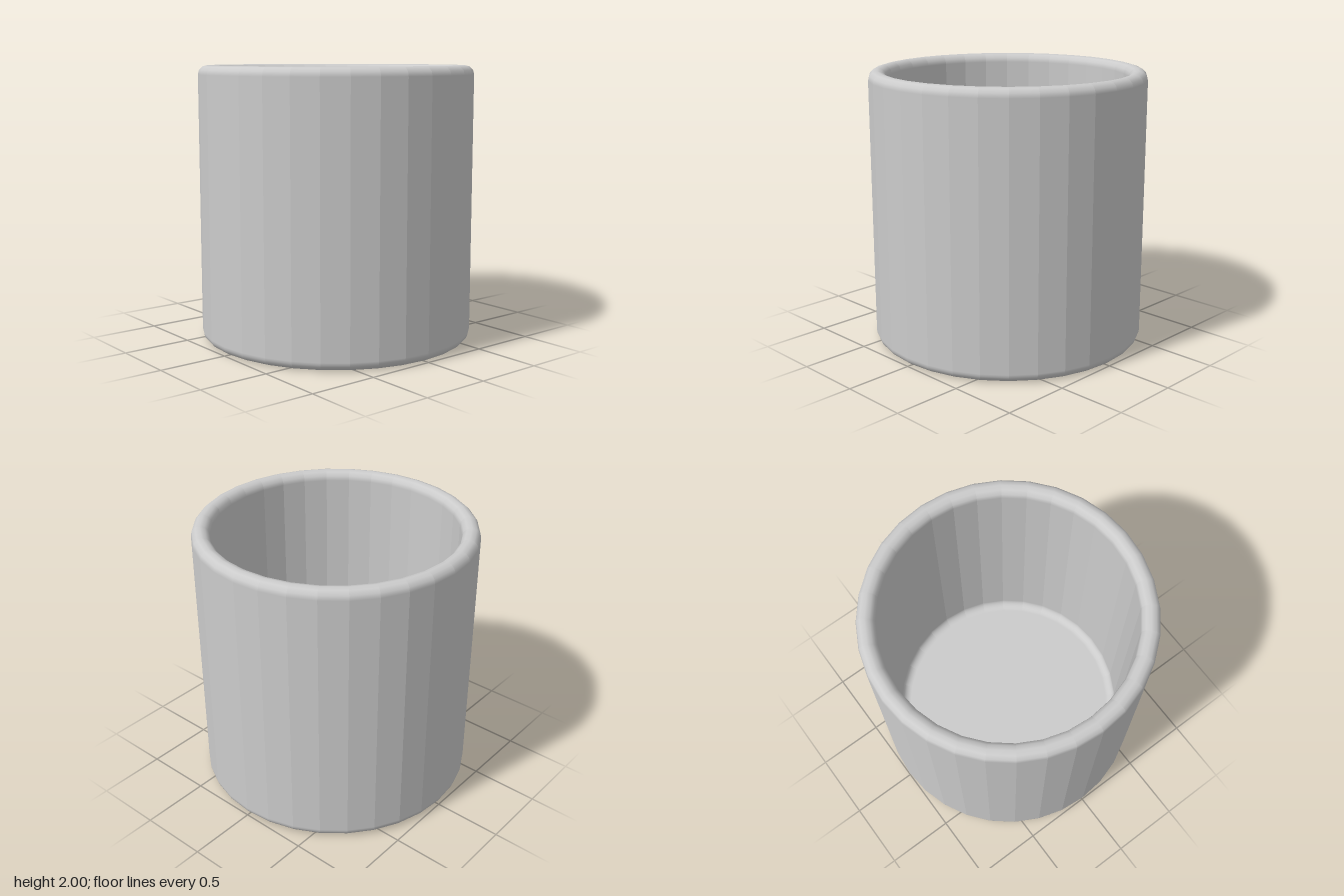
import * as THREE from 'three';

const SIDES = 32;
const OUTER = 1, INNER = 0.87, HEIGHT = 2, FLOOR = 0.13;
const ROUND = (OUTER - INNER) / 2; // radius of every rounded edge
const STEPS = 6;

// Rounded corner as [radius, height, normal radius, normal height];
// sign -1 makes a hollow fillet whose normals point to its centre.
function corner(r, y, from, to, sign = 1) {
  return Array.from({ length: STEPS + 1 }, (_, i) => {
    const a = THREE.MathUtils.degToRad(from + (to - from) * i / STEPS);
    const c = Math.cos(a), s = Math.sin(a);
    return [r + ROUND * c, y + ROUND * s, sign * c, sign * s];
  });
}

// Revolve the profile: faceted around the axis, smooth along the profile.
function facetedLathe(profile) {
  const position = [], normal = [], index = [];
  for (let i = 0; i < SIDES; i++) {
    const a = i / SIDES * Math.PI * 2, b = (i + 1) / SIDES * Math.PI * 2, mid = (a + b) / 2;
    const base = position.length / 3;
    profile.forEach(([r, y, nr, ny], j) => {
      for (const t of [a, b]) {
        position.push(r * Math.sin(t), y, r * Math.cos(t));
        normal.push(nr * Math.sin(mid), ny, nr * Math.cos(mid));
      }
      if (j === profile.length - 1) return;
      const k = base + j * 2;
      if (r > 0) index.push(k, k + 1, k + 2);
      if (profile[j + 1][0] > 0) index.push(k + 1, k + 3, k + 2);
    });
  }
  const geometry = new THREE.BufferGeometry();
  geometry.setAttribute('position', new THREE.Float32BufferAttribute(position, 3));
  geometry.setAttribute('normal', new THREE.Float32BufferAttribute(normal, 3));
  geometry.setIndex(index);
  return geometry;
}

export function createModel() {
  const group = new THREE.Group();
  group.name = 'cup';

  const profile = [
    [0, 0, 0, -1],                                             // underside
    ...corner(OUTER - ROUND, ROUND, -90, 0),                   // foot edge
    ...corner(OUTER - ROUND, HEIGHT - ROUND, 0, 180),          // rim
    ...corner(INNER - ROUND, FLOOR + ROUND, 0, -90, -1),       // inner fillet
    [0, FLOOR, 0, 1],                                          // inner floor
  ];
  const cup = new THREE.Mesh(
    facetedLathe(profile),
    new THREE.MeshStandardMaterial({ color: 0xcccccc })
  );
  cup.name = 'cupBody';
  group.add(cup);
  return group;
}
